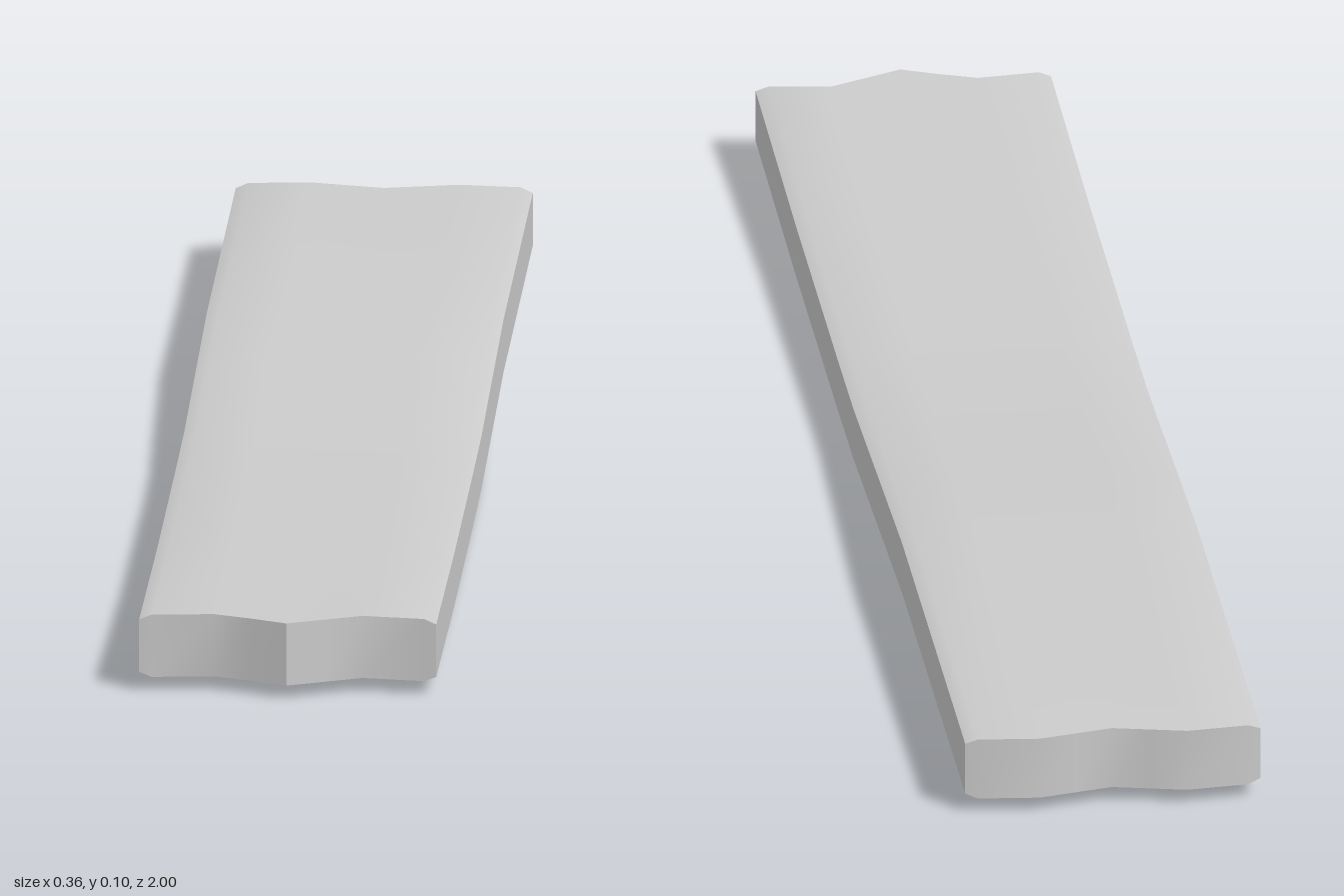
import * as THREE from 'three';
import { mergeVertices, toCreasedNormals } from 'three/addons/utils/BufferGeometryUtils.js';

// Columns across the plank: x, front end z, back end z
const COLUMNS = [
  [-0.18, 0.965, -0.99], [-0.165, 0.965, -0.993], [-0.09, 0.958, -1.0],
  [-0.045, 0.975, -0.99], [0, 0.995, -0.98], [0.045, 0.975, -0.99],
  [0.09, 0.955, -1.0], [0.165, 0.965, -0.993], [0.18, 0.967, -0.99],
];
// Stations along the plank, back to front: z, height of the underside
const STATIONS = [
  [-1, 0.025], [-0.4, 0.03], [-0.22, 0.021], [0.05, 0.007],
  [0.2, 0.007], [0.6, 0.012], [1, 0.024],
];
const THICKNESS = 0.078;
const BEVEL = 0.006;

// Warp a segmented box: bend it along z, bevel the long edges, shape the ends
function plankGeometry() {
  const nx = COLUMNS.length - 1, nz = STATIONS.length - 1;
  let geo = new THREE.BoxGeometry(nx, 2, nz, nx, 1, nz);
  const pos = geo.attributes.position;
  for (let i = 0; i < pos.count; i++) {
    const c = Math.round(pos.getX(i) + nx / 2);
    const s = Math.round(pos.getZ(i) + nz / 2);
    const top = pos.getY(i) > 0;
    const [x, front, back] = COLUMNS[c];
    const [station, base] = STATIONS[s];
    const z = s === 0 ? back : s === nz ? front : station;
    const inset = c === 0 || c === nx ? BEVEL : 0;
    pos.setXYZ(i, x, base - 0.004 + (top ? THICKNESS - inset : inset), z);
  }
  geo.deleteAttribute('uv');
  geo.deleteAttribute('normal');
  geo = mergeVertices(geo);
  return toCreasedNormals(geo, 0.6);
}

export function createModel() {
  const group = new THREE.Group();
  group.name = 'warpedPlank';
  const plank = new THREE.Mesh(
    plankGeometry(),
    new THREE.MeshStandardMaterial({ color: 0xcccccc })
  );
  plank.name = 'plank';
  group.add(plank);
  return group;
}
